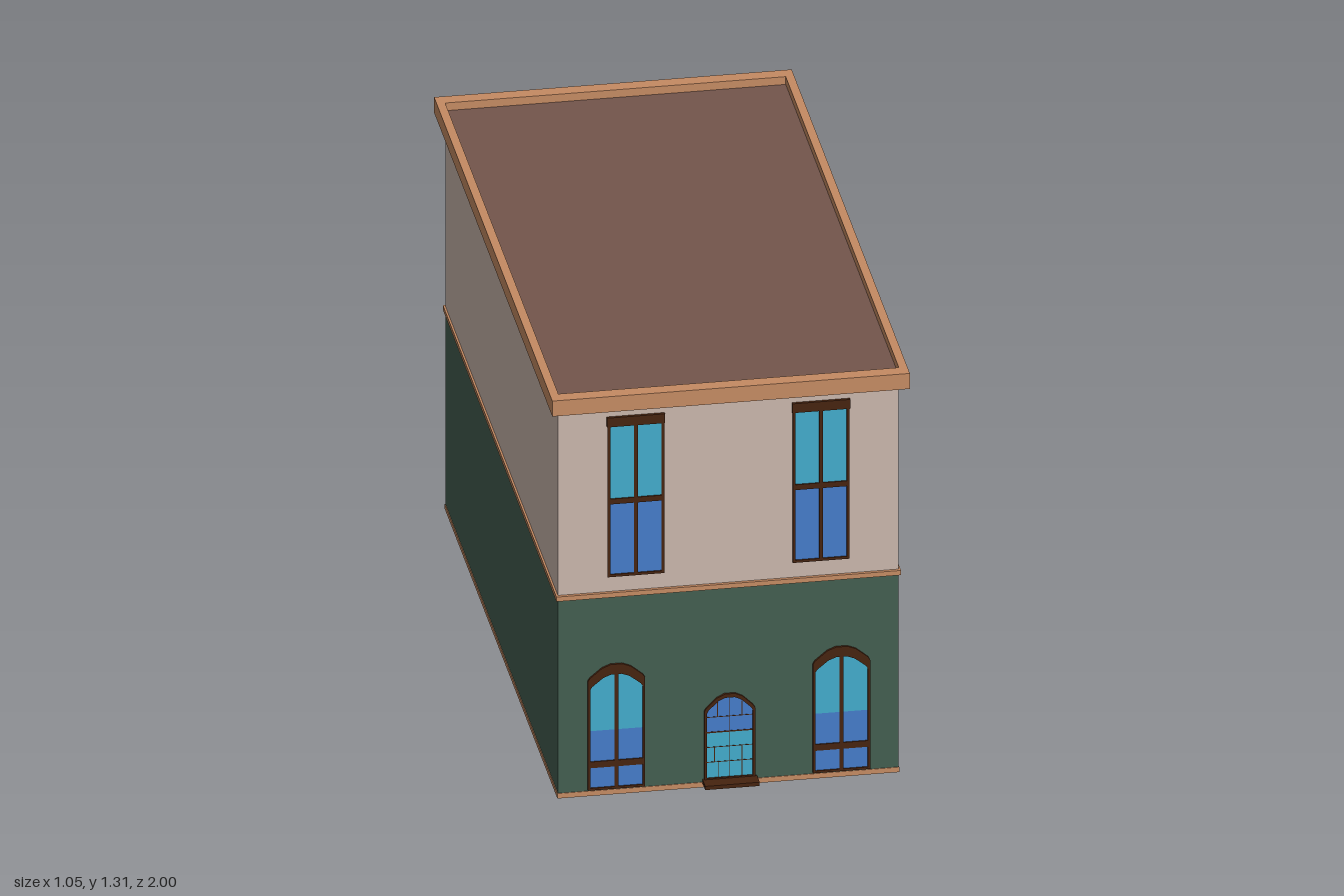
import * as THREE from 'three';

const mat = (name, color) => {
  const m = new THREE.MeshStandardMaterial({ color });
  m.name = name;
  return m;
};

export function createModel() {
  const M = {
    tan: mat('tan trim', 0xc48a62),
    plaster: mat('beige plaster', 0xc8b5aa),
    green: mat('green wall', 0x425d4f),
    roof: mat('brown roof', 0x73554c),
    frame: mat('dark wood', 0x46230f),
    cyan: mat('light glass', 0x42abcb),
    blue: mat('deep glass', 0x447bc8),
  };
  const house = new THREE.Group();
  house.name = 'house';

  const add = (parent, name, geo, material) => {
    const mesh = new THREE.Mesh(geo, material);
    mesh.name = name;
    parent.add(mesh);
    return mesh;
  };
  // Box given by its limits
  const box = (parent, name, material, x0, x1, y0, y1, z0, z1) => {
    const mesh = add(parent, name, new THREE.BoxGeometry(x1 - x0, y1 - y0, z1 - z0), material);
    mesh.position.set((x0 + x1) / 2, (y0 + y1) / 2, (z0 + z1) / 2);
    return mesh;
  };
  const extrude = (parent, name, material, shape, depth) =>
    add(parent, name, new THREE.ExtrudeGeometry(shape, { depth, bevelEnabled: false }), material);
  // Group placed on a wall, with local z pointing outwards
  const onWall = (name, x, z, turn) => {
    const g = new THREE.Group();
    g.name = name;
    g.position.set(x, 0, z);
    g.rotation.y = turn;
    house.add(g);
    return g;
  };
  // Straight-sided opening closed by a faceted low arch
  const archPoints = (w, y0, spring, top) => {
    const r = top - spring;
    return [[-w, y0], [w, y0], [w, spring], [w * 0.93, spring + r * 0.2], [w * 0.5, spring + r * 0.8],
      [w * 0.2, top], [-w * 0.2, top], [-w * 0.5, spring + r * 0.8], [-w * 0.93, spring + r * 0.2],
      [-w, spring]].map(([x, y]) => new THREE.Vector2(x, y));
  };
  const archShape = (...a) => new THREE.Shape(archPoints(...a));

  // Walls, base and belt
  box(house, 'base', M.tan, -0.502, 0.502, 0, 0.016, -0.953, 0.953);
  box(house, 'lowerWalls', M.green, -0.5, 0.5, 0.016, 0.64, -0.951, 0.951);
  box(house, 'belt', M.tan, -0.506, 0.506, 0.64, 0.655, -0.96, 0.96);
  box(house, 'upperWalls', M.plaster, -0.5, 0.5, 0.655, 1.27, -0.95, 0.95);

  // Cornice ring around the sunken roof
  const rect = (x, z) => [[-x, -z], [x, -z], [x, z], [-x, z]].map(p => new THREE.Vector2(...p));
  const ring = new THREE.Shape(rect(0.525, 1));
  ring.holes.push(new THREE.Path(rect(0.5, 0.957)));
  const cornice = extrude(house, 'cornice', M.tan, ring, 0.05);
  cornice.rotation.x = -Math.PI / 2;
  cornice.position.y = 1.26;
  box(house, 'roof', M.roof, -0.5, 0.5, 1.262, 1.285, -0.957, 0.957);

  // Upper windows: two pane colours, frame, bars and lintel
  const sashWindow = (g, w, side, mullion, d) => {
    const y0 = 0.705, y1 = 1.22;
    box(g, 'lowerPane', M.blue, -w, w, y0, 0.948, 0, d * 0.5);
    box(g, 'upperPane', M.cyan, -w, w, 0.948, 1.2, 0, d * 0.5);
    for (const s of [-1, 1]) {
      const a = s * w, b = s * (w - side);
      box(g, 'jamb', M.frame, Math.min(a, b), Math.max(a, b), y0, y1, 0, d);
    }
    box(g, 'mullion', M.frame, -mullion / 2, mullion / 2, y0, y1, 0, d);
    box(g, 'sill', M.frame, -w, w, y0, y0 + 0.008, 0, d);
    box(g, 'crossbar', M.frame, -w, w, 0.94, 0.957, 0, d);
    box(g, 'lintel', M.frame, -w - 0.002, w + 0.002, 1.19, y1, 0, d + 0.001);
  };
  sashWindow(onWall('frontUpperWindow', 0.272, 0.95, 0), 0.083, 0.008, 0.011, 0.008);
  sashWindow(onWall('frontUpperWindow', -0.272, 0.95, 0), 0.083, 0.008, 0.011, 0.008);
  sashWindow(onWall('backUpperWindow', -0.275, -0.95, Math.PI), 0.083, 0.008, 0.011, 0.008);
  for (const z of [0.295, -0.452])
    sashWindow(onWall('sideWindow', 0.5, z, Math.PI / 2), 0.187, 0.015, 0.02, 0.012);

  // Arched ground floor windows
  const archedWindow = (g) => {
    const frame = archShape(0.084, 0.02, 0.372, 0.422);
    frame.holes.push(new THREE.Path(archPoints(0.077, 0.027, 0.345, 0.39).reverse()));
    extrude(g, 'frame', M.frame, frame, 0.008);
    box(g, 'lowerPane', M.blue, -0.08, 0.08, 0.024, 0.21, 0, 0.004);
    extrude(g, 'upperPane', M.cyan, archShape(0.08, 0.21, 0.35, 0.395), 0.004);
    box(g, 'mullion', M.frame, -0.006, 0.006, 0.024, 0.395, 0, 0.008);
    box(g, 'crossbar', M.frame, -0.08, 0.08, 0.092, 0.112, 0, 0.0078);
  };
  archedWindow(onWall('frontArchedWindow', 0.332, 0.95, 0));
  archedWindow(onWall('frontArchedWindow', -0.329, 0.95, 0));
  archedWindow(onWall('backArchedWindow', -0.331, -0.95, Math.PI));

  // Front door with panel seams and step
  const door = onWall('frontDoor', 0.004, 0.95, 0);
  const doorFrame = archShape(0.075, 0.02, 0.245, 0.298);
  doorFrame.holes.push(new THREE.Path(archPoints(0.067, 0.03, 0.24, 0.286).reverse()));
  extrude(door, 'frame', M.frame, doorFrame, 0.008);
  box(door, 'lowerPanels', M.cyan, -0.07, 0.07, 0.025, 0.176, 0, 0.004);
  extrude(door, 'upperPanels', M.blue, archShape(0.07, 0.176, 0.242, 0.29), 0.004);
  const seam = (x0, x1, y0, y1) => box(door, 'seam', M.frame, x0, x1, y0, y1, 0.003, 0.005);
  for (const [y, t] of [[0.08, 0.002], [0.128, 0.002], [0.176, 0.004], [0.225, 0.002]])
    seam(-0.068, 0.068, y - t / 2, y + t / 2);
  for (const [x, y0, y1] of [[-0.034, 0.03, 0.08], [0, 0.03, 0.128], [-0.045, 0.08, 0.128],
    [0.036, 0.08, 0.128], [0, 0.128, 0.286], [0.036, 0.03, 0.08], [-0.036, 0.225, 0.272], [0.036, 0.225, 0.272]])
    seam(x - 0.001, x + 0.001, y0, y1);
  box(door, 'step', M.frame, -0.08, 0.08, 0.014, 0.026, 0, 0.05);

  // Plain back door with a handle
  const back = onWall('backDoor', 0.328, -0.95, Math.PI);
  box(back, 'frame', M.frame, -0.063, 0.063, 0.018, 0.253, 0, 0.003);
  box(back, 'leaf', M.cyan, -0.06, 0.06, 0.02, 0.25, 0, 0.005);
  box(back, 'handle', M.frame, 0.042, 0.056, 0.11, 0.155, 0, 0.009);

  return house;
}
